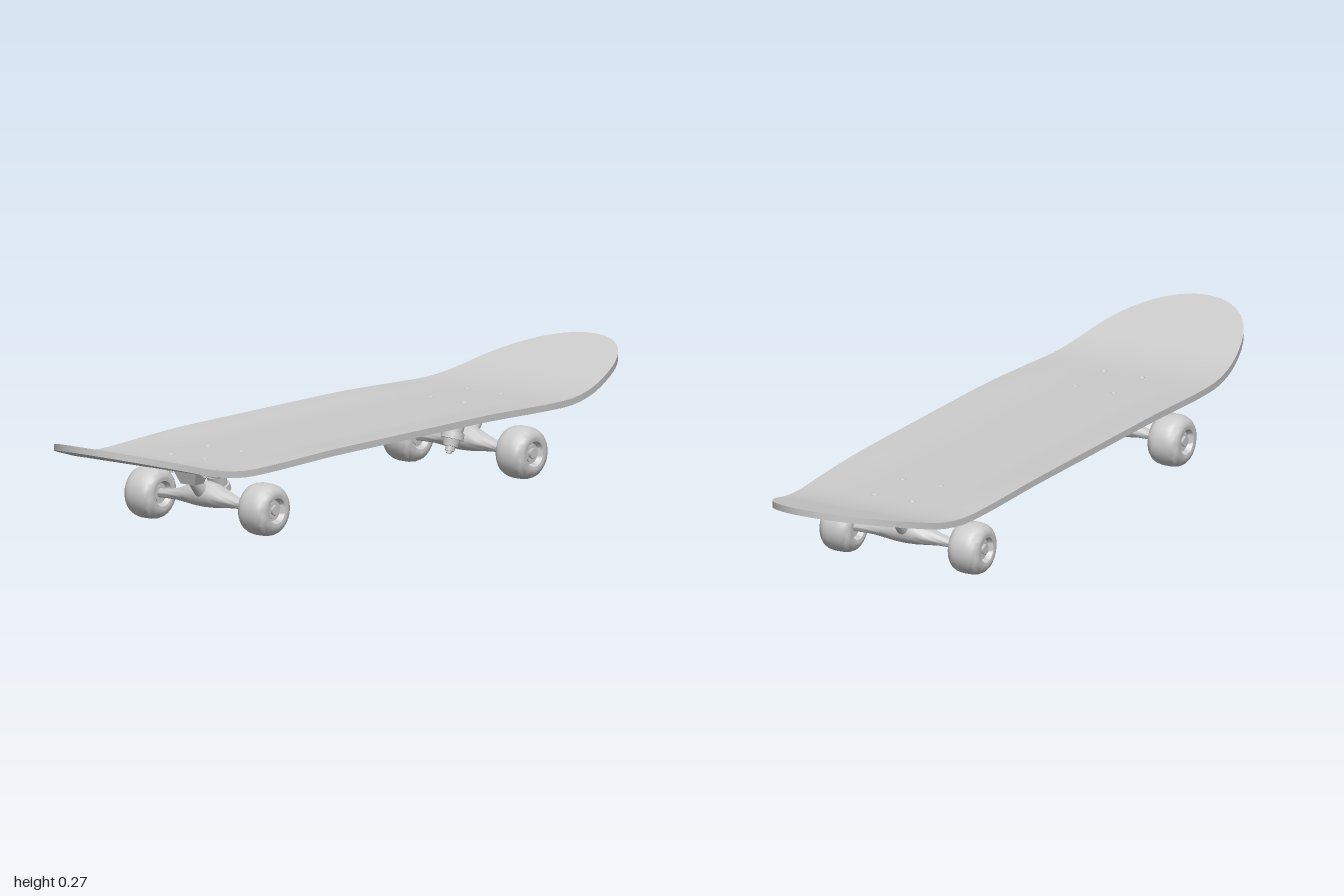
import * as THREE from 'three';
import { toCreasedNormals } from 'three/addons/utils/BufferGeometryUtils.js';

const material = new THREE.MeshStandardMaterial({ color: 0xcccccc, side: THREE.DoubleSide });

function add(parent, name, geometry, x = 0, y = 0, z = 0) {
  const mesh = new THREE.Mesh(geometry, material);
  mesh.name = name;
  mesh.position.set(x, y, z);
  parent.add(mesh);
  return mesh;
}

// Skin a list of equal-length rings and cap both ends
function loft(rings, crease) {
  const n = rings[0].length, index = [];
  for (let s = 0; s < rings.length - 1; s++) {
    for (let i = 0; i < n; i++) {
      const a = s * n + i, b = s * n + (i + 1) % n;
      index.push(a, b, b + n, a, b + n, a + n);
    }
  }
  const last = (rings.length - 1) * n;
  for (let i = 1; i < n - 1; i++) {
    index.push(0, i + 1, i, last, last + i, last + i + 1);
  }
  const g = new THREE.BufferGeometry();
  g.setAttribute('position', new THREE.Float32BufferAttribute(rings.flat(2), 3));
  g.setIndex(index);
  return toCreasedNormals(g, crease);
}

// Box whose bottom face has its own size and x offset
function taperedBox(topX, topZ, bottomX, bottomZ, height, shift = 0) {
  const g = new THREE.BoxGeometry(topX, height, topZ);
  const p = g.attributes.position;
  for (let i = 0; i < p.count; i++) {
    if (p.getY(i) < 0) {
      p.setX(i, p.getX(i) * bottomX / topX + shift);
      p.setZ(i, p.getZ(i) * bottomZ / topZ);
    }
  }
  g.computeVertexNormals();
  return g;
}

// Cylinder running between two points of the truck's middle plane
function rod(parent, name, x0, y0, x1, y1, r0, r1 = r0, sides = 20) {
  const length = Math.hypot(x1 - x0, y1 - y0);
  const mesh = add(parent, name, new THREE.CylinderGeometry(r1, r0, length, sides), (x0 + x1) / 2, (y0 + y1) / 2);
  mesh.rotation.z = -Math.atan2(x1 - x0, y1 - y0);
}

const smooth = THREE.MathUtils.smoothstep;

// Underside height of the deck: raised ends and slightly lifted rails
function deckHeight(x, z) {
  const t = Math.max(0, Math.abs(x) - 0.6);
  const kick = t < 0.2 ? 0.8 * t * t : 0.032 + 0.27 * (t - 0.2);
  const rail = 0.009 * smooth(Math.abs(z), 0.12, 0.245) * (1 - smooth(Math.abs(x), 0.25, 0.65));
  return 0.17 + kick + rail;
}

function deckGeometry() {
  const stations = 64, across = 16, thickness = 0.017, rings = [];
  for (let s = 0; s <= stations; s++) {
    const x = -Math.cos(Math.PI * s / stations);
    const half = Math.max(0.002, 0.245 * Math.sqrt(Math.max(0, 1 - Math.abs(x) ** 5.2)));
    const top = [], bottom = [];
    for (let i = 0; i <= across; i++) {
      const z = half * (2 * i / across - 1);
      top.push([x, deckHeight(x, z) + thickness, z]);
      bottom.unshift([x, deckHeight(x, z), z]);
    }
    rings.push([...top, ...bottom]);
  }
  return loft(rings, 0.6);
}

// Hanger sections along z: [z, half depth, bottom, top]
function hangerGeometry() {
  const half = [[0, 0.036, 0.05, 0.116], [0.03, 0.034, 0.051, 0.111], [0.06, 0.027, 0.054, 0.099],
    [0.09, 0.02, 0.057, 0.088], [0.12, 0.015, 0.057, 0.081], [0.15, 0.0125, 0.056, 0.079]];
  const sections = [...half.slice(1).reverse().map(([z, ...rest]) => [-z, ...rest]), ...half];
  return loft(sections.map(([z, hx, y0, y1]) => Array.from({ length: 20 }, (_, i) => {
    const a = i / 20 * Math.PI * 2;
    return [hx * Math.cos(a), (y0 + y1) / 2 + (y1 - y0) / 2 * Math.sin(a), z];
  })), 0.9);
}

// Wheel with rounded shoulders, dished faces and a hub
function wheelGeometry() {
  const side = [[0.01, 0.03], [0.026, 0.03], [0.029, 0.036], [0.032, 0.043], [0.038, 0.0445],
    [0.046, 0.043], [0.054, 0.039], [0.06, 0.033], [0.064, 0.024], [0.066, 0.012]];
  const profile = [...side.map(([r, h]) => [r, -h]), ...side.reverse()];
  const g = new THREE.LatheGeometry(profile.map(p => new THREE.Vector2(...p)), 36);
  g.rotateX(Math.PI / 2);
  return toCreasedNormals(g, 0.7);
}

// One truck around x = 0, with +x towards the end of the board
function createTruck() {
  const truck = new THREE.Group();
  truck.name = 'truck';
  add(truck, 'riserPad', new THREE.BoxGeometry(0.2, 0.006, 0.148), 0.01, 0.168);
  add(truck, 'basePlate', new THREE.BoxGeometry(0.19, 0.009, 0.14), 0.01, 0.161);
  add(truck, 'basePlateWeb', taperedBox(0.15, 0.05, 0.1, 0.035, 0.02), 0.005, 0.147);
  add(truck, 'kingpinSeat', taperedBox(0.065, 0.085, 0.05, 0.05, 0.035, -0.005), -0.03, 0.14);
  add(truck, 'pivotCup', taperedBox(0.055, 0.08, 0.036, 0.044, 0.04, -0.004), 0.062, 0.137);

  // Tilted kingpin with two bushings and its nut
  rod(truck, 'upperBushing', -0.044, 0.1, -0.034, 0.128, 0.023, 0.025);
  rod(truck, 'kingpinRing', -0.05, 0.084, -0.044, 0.1, 0.029);
  rod(truck, 'lowerBushing', -0.056, 0.067, -0.05, 0.084, 0.019, 0.023);
  rod(truck, 'kingpinNut', -0.06, 0.056, -0.056, 0.067, 0.013, 0.013, 6);
  rod(truck, 'kingpin', -0.062, 0.05, -0.03, 0.14, 0.007);

  // Hanger, its pivot arm and the axle
  add(truck, 'hanger', hangerGeometry());
  add(truck, 'hangerYoke', new THREE.BoxGeometry(0.04, 0.022, 0.042), -0.03, 0.088);
  rod(truck, 'pivotArm', 0.012, 0.085, 0.06, 0.128, 0.021, 0.012);
  const axle = add(truck, 'axle', new THREE.CylinderGeometry(0.008, 0.008, 0.446, 16), 0, 0.067);
  axle.rotation.x = Math.PI / 2;

  const wheel = wheelGeometry();
  for (const side of [-1, 1]) {
    add(truck, 'wheel', wheel, 0, 0.066, side * 0.183);
    const bearing = add(truck, 'bearing', new THREE.CylinderGeometry(0.021, 0.021, 0.066, 24), 0, 0.066, side * 0.183);
    bearing.rotation.x = Math.PI / 2;
    const nut = add(truck, 'axleNut', new THREE.CylinderGeometry(0.014, 0.014, 0.012, 6), 0, 0.067, side * 0.217);
    nut.rotation.x = Math.PI / 2;

    // Mounting bolts: low heads above the deck, nuts below the plate
    for (const x of [-0.068, 0.074]) {
      const z = side * 0.054;
      const head = add(truck, 'boltHead', new THREE.SphereGeometry(0.008, 12, 6, 0, Math.PI * 2, 0, Math.PI / 2), x, 0.187, z);
      head.scale.y = 0.35;
      add(truck, 'boltNut', new THREE.CylinderGeometry(0.011, 0.011, 0.011, 6), x, 0.151, z);
      add(truck, 'boltTip', new THREE.CylinderGeometry(0.006, 0.006, 0.006, 10), x, 0.144, z);
    }
  }
  return truck;
}

export function createModel() {
  const model = new THREE.Group();
  model.name = 'skateboard';
  add(model, 'deck', deckGeometry());
  for (const side of [-1, 1]) {
    const truck = createTruck();
    truck.name = side > 0 ? 'leftTruck' : 'rightTruck';
    truck.position.x = side * 0.5;
    if (side < 0) truck.rotation.y = Math.PI;
    model.add(truck);
  }
  return model;
}
